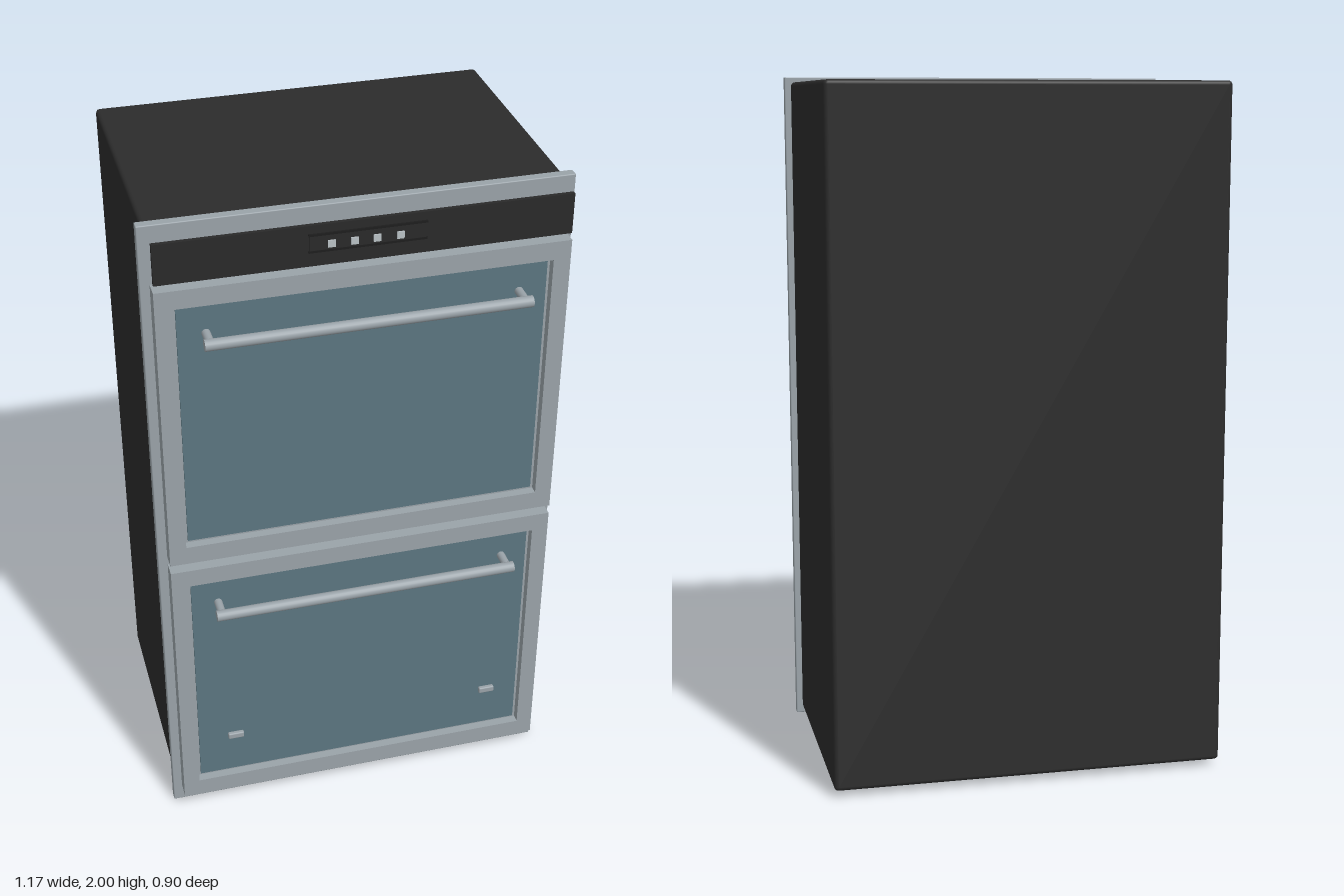
import * as THREE from 'three';
import { RoundedBoxGeometry } from 'three/addons/geometries/RoundedBoxGeometry.js';

function material(name, color) {
  const m = new THREE.MeshStandardMaterial({ color });
  m.name = name;
  return m;
}

export function createModel() {
  const steel = material('brushed steel', 0x9aa3a9);
  const black = material('black casing', 0x2c2c2c);
  const panelBlack = material('control panel black', 0x292929);
  const displayBlack = material('display black', 0x1d1d1d);
  const glass = material('blue grey glass', 0x5c7680);
  const light = material('pale button', 0xb9c1c5);

  const model = new THREE.Group();
  model.name = 'doubleOven';

  function add(parent, name, geometry, mat, x, y, z) {
    const mesh = new THREE.Mesh(geometry, mat);
    mesh.name = name;
    mesh.position.set(x, y, z);
    parent.add(mesh);
    return mesh;
  }
  // Box given by its limits, with an optional rounded edge
  function box(parent, name, mat, x0, x1, y0, y1, z0, z1, r = 0) {
    const s = [x1 - x0, y1 - y0, z1 - z0];
    const g = r ? new RoundedBoxGeometry(...s, 2, r) : new THREE.BoxGeometry(...s);
    return add(parent, name, g, mat, (x0 + x1) / 2, (y0 + y1) / 2, (z0 + z1) / 2);
  }

  // Casing and the front flange around it
  box(model, 'casing', black, -0.568, 0.568, 0.02, 1.985, -0.453, 0.297, 0.012);
  box(model, 'frontFlange', steel, -0.586, 0.586, 0, 2, 0.295, 0.323, 0.003);

  // Control panel with display, trim lines and buttons
  const controls = new THREE.Group();
  controls.name = 'controlPanel';
  model.add(controls);
  box(controls, 'panel', panelBlack, -0.56, 0.56, 1.862, 1.978, 0.376, 0.388);
  box(controls, 'display', panelBlack, -0.155, 0.155, 1.905, 1.952, 0.386, 0.392);
  for (const y of [1.905, 1.952]) {
    box(controls, 'displayTrim', displayBlack, -0.158, 0.158, y - 0.003, y + 0.003, 0.386, 0.393);
  }
  for (const x of [-0.098, -0.037, 0.023, 0.085]) {
    box(controls, 'button', light, x - 0.01, x + 0.01, 1.914, 1.934, 0.39, 0.396);
  }

  // One door: steel surround, recessed glass and a bar handle
  function door(name, y0, y1, glass0, glass1, handleY) {
    const group = new THREE.Group();
    group.name = name;
    model.add(group);

    const shape = new THREE.Shape([
      new THREE.Vector2(-0.562, y0), new THREE.Vector2(0.562, y0),
      new THREE.Vector2(0.562, y1), new THREE.Vector2(-0.562, y1),
    ]);
    shape.holes.push(new THREE.Path([
      new THREE.Vector2(-0.514, glass0), new THREE.Vector2(-0.514, glass1),
      new THREE.Vector2(0.514, glass1), new THREE.Vector2(0.514, glass0),
    ]));
    const surround = new THREE.ExtrudeGeometry(shape, { depth: 0.048, bevelEnabled: false });
    add(group, 'doorSurround', surround, steel, 0, 0, 0.341);
    box(group, 'windowBacking', steel, -0.514, 0.514, glass0, glass1, 0.343, 0.364);
    box(group, 'window', glass, -0.505, 0.505, glass0 + 0.009, glass1 - 0.009, 0.35, 0.37);

    const bar = new THREE.CylinderGeometry(0.016, 0.016, 0.89, 20).rotateZ(Math.PI / 2);
    add(group, 'handleBar', bar, steel, 0, handleY, 0.432);
    for (const side of [-1, 1]) {
      const post = new THREE.CylinderGeometry(0.012, 0.012, 0.066, 16).rotateX(Math.PI / 2);
      add(group, 'handlePost', post, steel, side * 0.428, handleY, 0.396);
    }
    return group;
  }
  door('upperDoor', 0.97, 1.842, 1.026, 1.788, 1.697);
  const lower = door('lowerDoor', 0.075, 0.943, 0.127, 0.888, 0.8);

  // Small catches low on the bottom door
  for (const side of [-1, 1]) {
    box(lower, 'catch', steel, side * 0.397 - 0.024, side * 0.397 + 0.024, 0.292, 0.312, 0.394, 0.408, 0.004);
  }

  // Shelf edges showing in the gap behind the doors
  for (const y of [1.58, 1.405, 1.215, 0.685, 0.505, 0.315]) {
    const rack = new THREE.Group();
    rack.name = 'rack';
    model.add(rack);
    box(rack, 'rackRail', steel, -0.435, 0.435, y - 0.004, y + 0.004, 0.327, 0.341);
    for (let i = -3; i <= 3; i++) {
      box(rack, 'rackWire', steel, i * 0.12 - 0.003, i * 0.12 + 0.003, y - 0.003, y + 0.003, 0.32, 0.33);
    }
  }

  return model;
}
